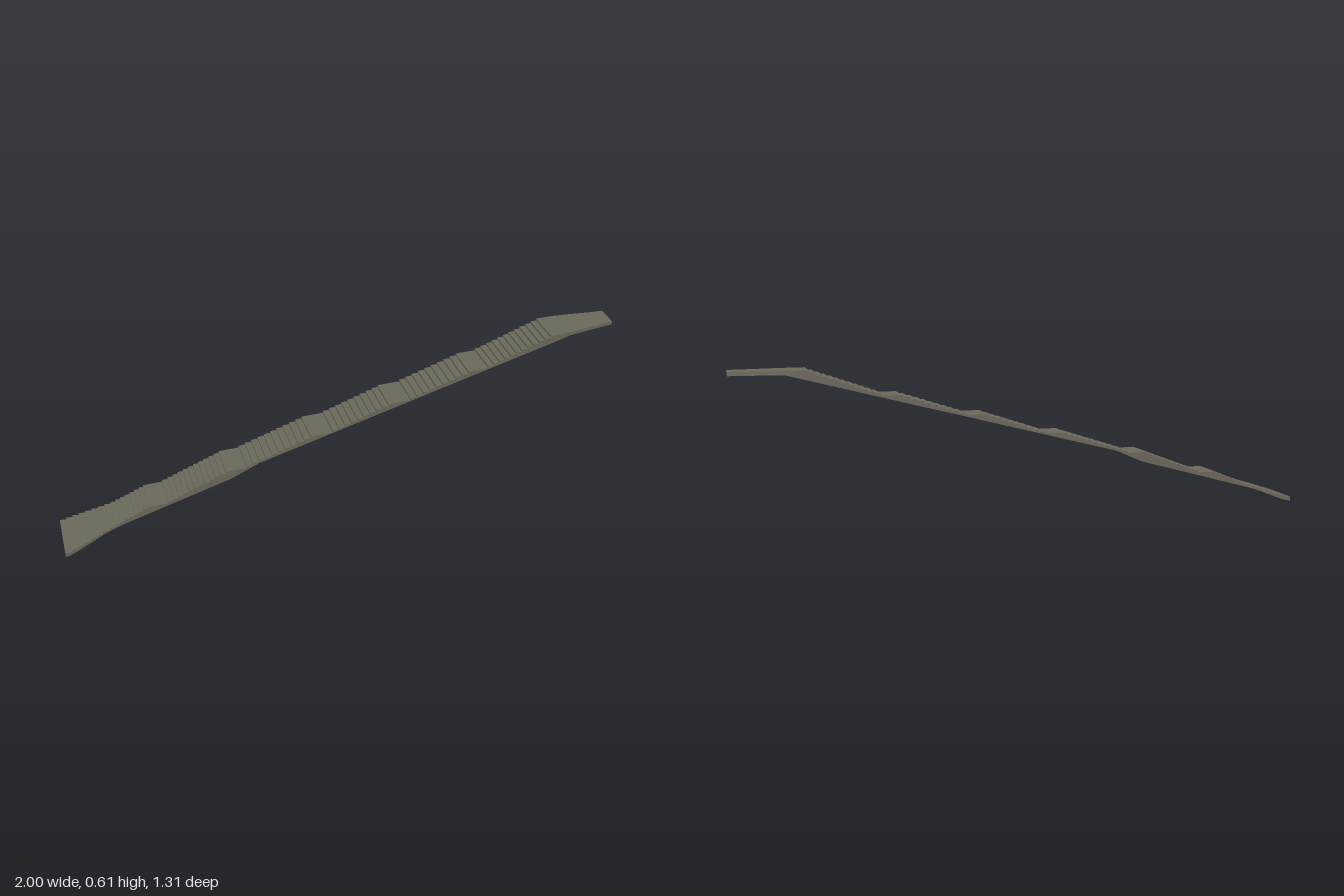
import * as THREE from 'three';

// Plan axis of the stairway: s runs uphill, t runs across it
const DIR = [0.849, -0.527];
const ACROSS = [0.527, 0.849];
const T_CENTRE = -0.0145;

// Piecewise linear and eased look-up tables, as [s, value]
const HALF_WIDTH = [[-1.104, 0.0995], [-0.87, 0.067], [0.93, 0.067], [1.158, 0.0425]];
const UNDERSIDE = [[-1.104, 0], [-1.07, 0.008], [-0.95, 0.055], [-0.436, 0.2], [-0.323, 0.25], [0.962, 0.59], [1.158, 0.59]];

// Stretches of the stairway: [name, start s, start y, end s, end y]
const STRETCHES = [
  ['lowerFlare', -1.104, 0.018, -0.9, 0.085],
  ['firstFlight', -0.9, 0.085, -0.765, 0.14],
  ['landing1', -0.765, 0.14, -0.71, 0.14],
  ['flight2', -0.71, 0.14, -0.456, 0.238],
  ['landing2', -0.456, 0.238, -0.4, 0.238],
  ['flight3', -0.4, 0.238, -0.114, 0.332],
  ['landing3', -0.114, 0.332, -0.05, 0.332],
  ['flight4', -0.05, 0.332, 0.204, 0.418],
  ['landing4', 0.204, 0.418, 0.268, 0.418],
  ['flight5', 0.268, 0.418, 0.534, 0.504],
  ['landing5', 0.534, 0.504, 0.592, 0.504],
  ['flight6', 0.592, 0.504, 0.875, 0.605],
  ['topLanding', 0.875, 0.605, 1.158, 0.605],
];

function lookUp(table, s, eased) {
  let i = 0;
  while (i < table.length - 2 && s > table[i + 1][0]) i++;
  const [[s0, v0], [s1, v1]] = [table[i], table[i + 1]];
  let k = Math.min(1, Math.max(0, (s - s0) / (s1 - s0)));
  // blend of straight and smooth easing for the tapered ends
  if (eased) k = 0.5 * k + 0.5 * k * k * (3 - 2 * k);
  return v0 + (v1 - v0) * k;
}

// Tread and riser outline of one stretch, as [s, y]
function stepProfile(s0, y0, s1, y1) {
  const rise = y1 - y0;
  const points = [[s0, y0]];
  const n = rise > 0 ? Math.round(rise / 0.0083) : 10;
  for (let i = 1; i <= n; i++) {
    const s = s0 + ((s1 - s0) * i) / n;
    points.push([s, y0 + (rise * (i - 1)) / n]);
    if (rise > 0) points.push([s, y0 + (rise * i) / n]);
  }
  return points;
}

// Four corners across the stairway: top left, top right, bottom right, bottom left
function crossSection([s, y]) {
  const w = lookUp(HALF_WIDTH, s, true);
  const under = lookUp(UNDERSIDE, s, false);
  const corner = (side, h) => {
    const t = T_CENTRE + side * w;
    return [DIR[0] * s + ACROSS[0] * t, h, DIR[1] * s + ACROSS[1] * t];
  };
  return [corner(-1, y), corner(1, y), corner(1, under), corner(-1, under)];
}

function stretchGeometry(profile) {
  const positions = [];
  const quad = (a, b, c, d) => positions.push(...a, ...b, ...c, ...a, ...c, ...d);
  const rings = profile.map(crossSection);
  for (let i = 0; i < rings.length - 1; i++) {
    const a = rings[i];
    const b = rings[i + 1];
    // a riser only needs its front face
    const riser = profile[i][0] === profile[i + 1][0];
    for (let k = 0; k < (riser ? 1 : 4); k++) {
      const m = (k + 1) % 4;
      quad(a[k], a[m], b[m], b[k]);
    }
  }
  // end caps
  const first = rings[0];
  const last = rings[rings.length - 1];
  quad(first[3], first[2], first[1], first[0]);
  quad(last[0], last[1], last[2], last[3]);
  const geometry = new THREE.BufferGeometry();
  geometry.setAttribute('position', new THREE.Float32BufferAttribute(positions, 3));
  geometry.computeVertexNormals();
  return geometry;
}

export function createModel() {
  const group = new THREE.Group();
  group.name = 'stairway';
  const stone = new THREE.MeshStandardMaterial({ color: 0x6c685c });
  for (const [name, ...span] of STRETCHES) {
    const mesh = new THREE.Mesh(stretchGeometry(stepProfile(...span)), stone);
    mesh.name = name;
    group.add(mesh);
  }
  return group;
}
